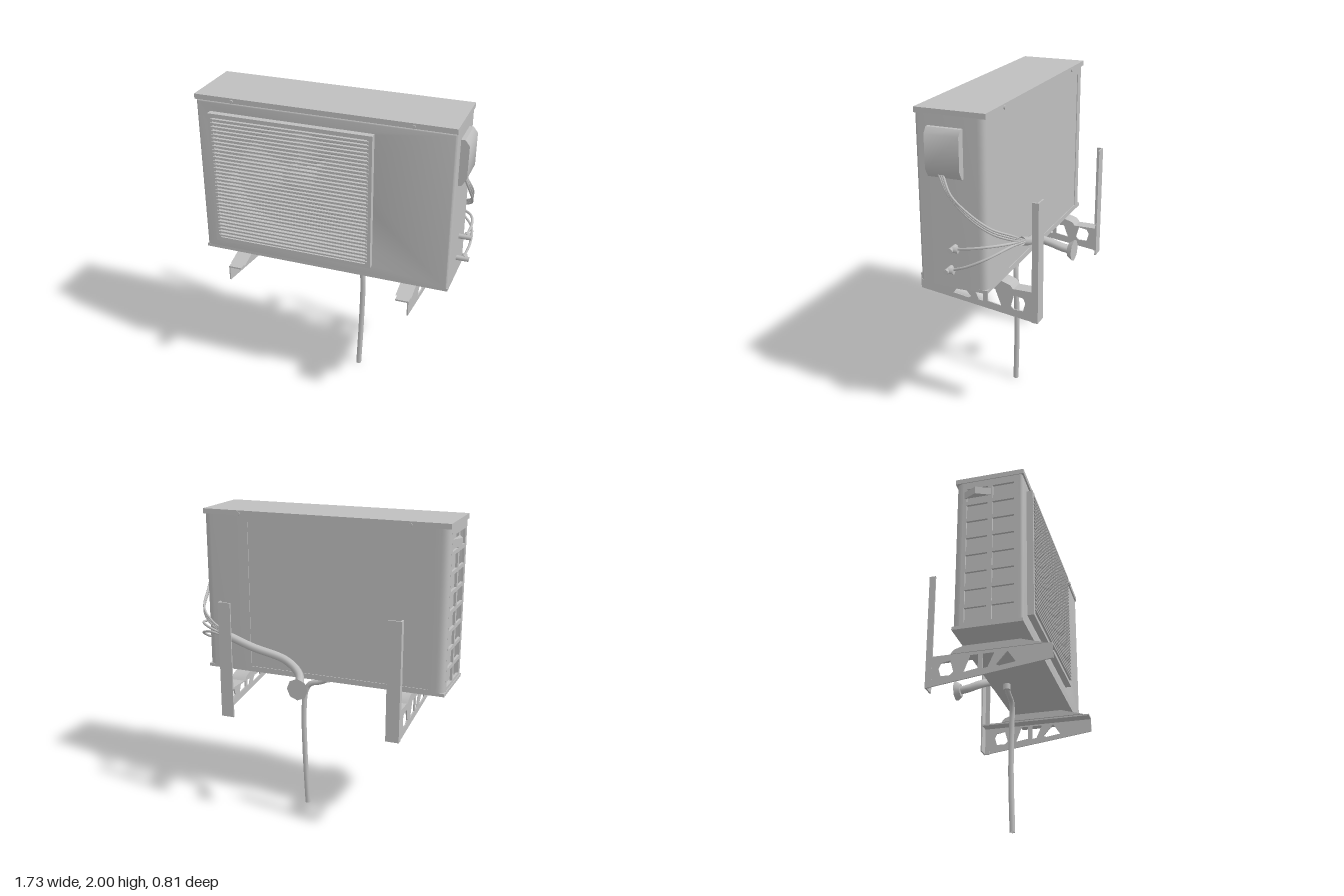
import * as THREE from 'three';
import { toCreasedNormals } from 'three/addons/utils/BufferGeometryUtils.js';

const metal = new THREE.MeshStandardMaterial({ color: 0xbfbfbf, side: THREE.DoubleSide });
metal.name = 'grey metal';

const V = (x, y, z) => new THREE.Vector3(x, y, z);

export function createModel() {
  const root = new THREE.Group();
  root.name = 'outdoorUnit';

  const add = (name, geo, x = 0, y = 0, z = 0, parent = root) => {
    const mesh = new THREE.Mesh(geo, metal);
    mesh.name = name;
    mesh.position.set(x, y, z);
    parent.add(mesh);
    return mesh;
  };
  // Box given by its limits
  const box = (name, x0, x1, y0, y1, z0, z1, parent = root) =>
    add(name, new THREE.BoxGeometry(x1 - x0, y1 - y0, z1 - z0),
      (x0 + x1) / 2, (y0 + y1) / 2, (z0 + z1) / 2, parent);
  const poly = pts => new THREE.Shape(pts.map(p => new THREE.Vector2(p[0], p[1])));
  const rect = (a, b, c, d) => poly([[a, c], [b, c], [b, d], [a, d]]);
  const extrude = (shape, depth, opts = {}) => toCreasedNormals(
    new THREE.ExtrudeGeometry(shape, { depth, bevelEnabled: false, curveSegments: 6, ...opts }), 0.7);
  // Plate drawn in (z, y), growing towards -x
  const sidePlate = (name, shape, depth, x, parent = root) =>
    add(name, extrude(shape, depth).rotateY(-Math.PI / 2), x, 0, 0, parent);
  const tube = (name, pts, r, parent = root) => add(name, new THREE.TubeGeometry(
    new THREE.CatmullRomCurve3(pts.map(p => V(...p))), pts.length * 5, r, 8), 0, 0, 0, parent);

  // Casing: front panel with a faceted fan opening
  const cx = -0.21, cy = 1.465, rx = 0.45, ry = 0.4, sides = 10;
  const panel = rect(-0.805, 0.775, 0.965, 1.955);
  panel.holes.push(poly(Array.from({ length: sides }, (_, i) => {
    const a = -i / sides * Math.PI * 2;
    return [cx + rx * Math.cos(a), cy + ry * Math.sin(a)];
  })));
  add('frontPanel', extrude(panel, 0.01, {
    bevelEnabled: true, bevelThickness: 0.018, bevelSize: 0.015, bevelSegments: 4,
  }), 0, 0, 0.252);
  const shroud = new THREE.CylinderGeometry(1, 1, 0.12, sides, 1, true);
  shroud.rotateY(Math.PI / 2).rotateX(Math.PI / 2);
  add('fanShroud', toCreasedNormals(shroud.scale(rx, ry, 1), 0.7), cx, cy, 0.19);

  // Right-hand sheet wrapping round the rear corner
  const wrap = new THREE.Shape();
  wrap.moveTo(0.79, -0.255);
  wrap.lineTo(0.79, 0.095);
  wrap.quadraticCurveTo(0.79, 0.145, 0.74, 0.145);
  wrap.lineTo(0.48, 0.145);
  wrap.lineTo(0.48, 0.13);
  wrap.lineTo(0.73, 0.13);
  wrap.quadraticCurveTo(0.775, 0.13, 0.775, 0.085);
  wrap.lineTo(0.775, -0.255);
  add('serviceSheet', extrude(wrap, 1.02).rotateX(-Math.PI / 2), 0, 0.95, 0);
  // Left rear corner post
  const corner = new THREE.Shape();
  corner.moveTo(-0.72, 0.145);
  corner.lineTo(-0.77, 0.145);
  corner.quadraticCurveTo(-0.82, 0.145, -0.82, 0.095);
  corner.lineTo(-0.805, 0.095);
  corner.quadraticCurveTo(-0.805, 0.13, -0.77, 0.13);
  corner.lineTo(-0.72, 0.13);
  add('rearCorner', extrude(corner, 1.02).rotateX(-Math.PI / 2), 0, 0.95, 0);

  // Coil behind the rear and the left guard
  box('rearCoil', -0.77, 0.5, 0.97, 1.94, -0.14, -0.12);
  box('rearTopRail', -0.77, 0.5, 1.93, 1.97, -0.145, -0.125);
  box('rearBottomRail', -0.77, 0.5, 0.95, 0.98, -0.145, -0.125);
  box('sideCoil', -0.785, -0.77, 0.96, 1.96, -0.13, 0.25);

  // Left guard: two columns of openings
  const guard = rect(-0.1, 0.26, 0.95, 1.97);
  for (let c = 0; c < 2; c++) for (let r = 0; r < 8; r++) {
    const z = -0.075 + c * 0.165, y = 0.985 + r * 0.12;
    guard.holes.push(rect(z, z + 0.135, y, y + 0.095));
  }
  sidePlate('sideGuard', guard, 0.015, -0.805);
  add('sideHandle', extrude(poly([[-0.82, 0.09], [-0.86, 0.01], [-0.82, -0.08]]), 0.05)
    .rotateX(-Math.PI / 2), 0, 1.85, 0);

  // Base tray and lid
  box('base', -0.825, 0.79, 0.945, 0.965, -0.145, 0.28);
  box('lid', -0.825, 0.79, 1.968, 2, -0.148, 0.287);
  for (const x of [-0.58, 0.54]) {
    add('lidScrew', new THREE.CylinderGeometry(0.012, 0.012, 0.01, 8).rotateX(Math.PI / 2), x, 1.98, 0.289);
    add('lidScrew', new THREE.CylinderGeometry(0.012, 0.012, 0.01, 8).rotateX(Math.PI / 2), x, 1.98, -0.15);
  }

  // Front grille
  const grille = new THREE.Group();
  grille.name = 'grille';
  root.add(grille);
  const frame = rect(-0.73, 0.31, 1.03, 1.9);
  frame.holes.push(rect(-0.7, 0.28, 1.055, 1.875));
  add('grilleFrame', extrude(frame, 0.04), 0, 0, 0.28, grille);
  for (let i = 0; i < 33; i++) {
    const y = 1.068 + i * 0.0247;
    box('slat', -0.71, 0.29, y, y + 0.011, 0.308, 0.328, grille);
  }
  for (const x of [-0.69, 0.27]) box('slatSupport', x - 0.008, x + 0.008, 1.04, 1.89, 0.295, 0.308, grille);

  // Fan: hub, motor and three twisted blades
  const fan = new THREE.Group();
  fan.name = 'fan';
  fan.position.set(cx, 1.49, 0.17);
  root.add(fan);
  add('hub', new THREE.LatheGeometry([[0.1, -0.07], [0.1, 0.03], [0.075, 0.07], [0, 0.09]]
    .map(p => new THREE.Vector2(...p)), 10).rotateX(Math.PI / 2), 0, 0, 0, fan);
  add('motor', new THREE.CylinderGeometry(0.07, 0.07, 0.2, 12).rotateX(Math.PI / 2), 0, 0, -0.17, fan);
  for (let b = 0; b < 3; b++) {
    const blade = new THREE.PlaneGeometry(1, 1, 6, 6), p = blade.attributes.position;
    for (let i = 0; i < p.count; i++) {
      const u = p.getX(i) + 0.5, v = p.getY(i) * 2;
      const r = 0.08 + u * (0.32 - 0.04 * v * v);
      const a = Math.PI / 3 + b * Math.PI * 2 / 3 + v * (0.3 + 0.22 * u);
      p.setXYZ(i, r * Math.cos(a), r * Math.sin(a), v * 0.06);
    }
    blade.computeVertexNormals();
    add('blade', blade, 0, 0, 0, fan);
  }

  // Valve cover on the right, with a sloping underside
  add('valveCover', extrude(poly([[0.78, 1.62], [0.81, 1.62], [0.84, 1.67], [0.842, 1.87], [0.815, 1.905], [0.78, 1.905]]),
    0.21), 0, 0, -0.01);
  // Stop valves and refrigerant lines
  for (const [y, z] of [[1.21, 0.05], [1.075, 0.08]]) {
    add('valveBody', new THREE.CylinderGeometry(0.016, 0.016, 0.085, 8).rotateZ(Math.PI / 2), 0.825, y, z);
    add('valveNut', new THREE.CylinderGeometry(0.02, 0.02, 0.035, 6).rotateX(Math.PI / 2), 0.835, y, z - 0.02);
  }
  tube('upperLine', [[0.83, 1.21, 0.04], [0.84, 1.235, -0.07], [0.81, 1.25, -0.17], [0.7, 1.24, -0.25], [0.53, 1.2, -0.262]], 0.008);
  tube('lowerLine', [[0.83, 1.075, 0.07], [0.845, 1.12, -0.04], [0.82, 1.18, -0.16], [0.7, 1.22, -0.25], [0.53, 1.19, -0.265]], 0.008);
  for (let i = 0; i < 3; i++) {
    const d = i * 0.013;
    tube('cable', [[0.815, 1.64, 0.13 - d], [0.835 + d / 2, 1.54, 0.07 - d], [0.835, 1.42 + d, -0.05],
      [0.8, 1.33 + d, -0.17], [0.69, 1.26 + d, -0.25], [0.53, 1.2, -0.262]], 0.007);
  }
  // Insulated bundle leading to the wall
  tube('pipeBundle', [[0.57, 1.21, -0.264], [0.42, 1.15, -0.245], [0.2, 1.08, -0.215], [0.09, 1.02, -0.26],
    [0.05, 0.98, -0.33], [0.035, 0.965, -0.385]], 0.027);
  add('wallSleeve', new THREE.CylinderGeometry(0.045, 0.07, 0.035, 8).rotateX(Math.PI / 2), 0.035, 0.965, -0.388);

  // Drain hose
  add('drainSpout', new THREE.CylinderGeometry(0.025, 0.025, 0.05, 8), -0.02, 0.93, -0.04);
  tube('drainHose', [[-0.03, 0.925, -0.04], [0.03, 0.895, -0.04], [0.1, 0.875, -0.042], [0.13, 0.83, -0.045],
    [0.143, 0.7, -0.052], [0.138, 0.4, -0.055], [0.125, 0.003, -0.042]], 0.018);

  // Wall brackets: post, top flange, pierced web and feet
  for (const s of [-1, 1]) {
    const g = new THREE.Group();
    g.name = s < 0 ? 'rightBracket' : 'leftBracket';
    root.add(g);
    const c = s < 0 ? -0.57 : 0.54, outer = c + s * 0.04;
    box('wallPlate', c - 0.04, c + 0.04, 0.7, 1.46, -0.375, -0.365, g);
    box('wallPostSide', outer - 0.005, outer + 0.005, 0.7, 1.46, -0.375, -0.335, g);
    box('armFlange', c - 0.04, c + 0.04, 0.89, 0.9, -0.37, 0.4, g);
    const web = poly([[-0.37, 0.7], [0.4, 0.8], [0.4, 0.9], [-0.37, 0.9]]);
    web.holes.push(
      poly([[0.18, 0.805], [0.08, 0.79], [0.06, 0.8], [0.13, 0.88]].reverse()),
      poly([[0.01, 0.79], [-0.02, 0.785], [-0.02, 0.88], [0.05, 0.88]].reverse()),
      poly([[-0.05, 0.79], [-0.14, 0.775], [-0.1, 0.88], [-0.05, 0.88]].reverse()),
      poly([[-0.2, 0.785], [-0.22, 0.765], [-0.28, 0.765], [-0.295, 0.82], [-0.28, 0.85], [-0.22, 0.86]].reverse()));
    sidePlate('armWeb', web, 0.008, outer + 0.004, g);
    sidePlate('foot', poly([[0.36, 0.9], [0.24, 0.935], [0.2, 0.948], [-0.13, 0.948], [-0.2, 0.925], [-0.22, 0.9]]),
      0.1, c + 0.05, g);
  }
  return root;
}
